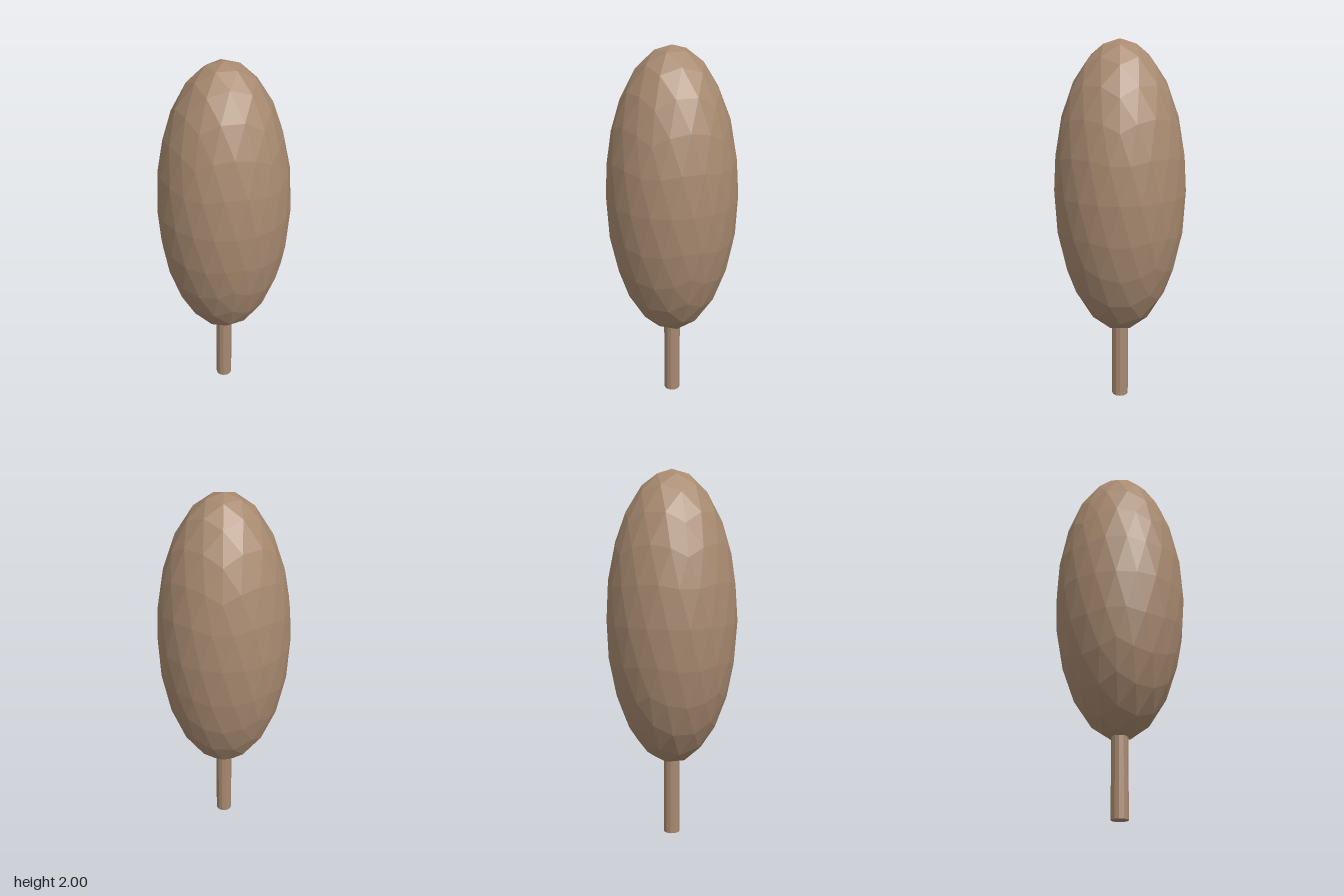
import * as THREE from 'three';

export function createModel() {
  const tree = new THREE.Group();
  tree.name = 'tree';
  const material = new THREE.MeshStandardMaterial({ color: 0xa88a70, flatShading: true });

  // Crown: faceted icosphere turned to stand on a vertex, stretched into a tall egg
  const crownGeometry = new THREE.IcosahedronGeometry(1, 3);
  crownGeometry.rotateZ(-Math.atan(2 / (1 + Math.sqrt(5))));
  crownGeometry.scale(0.354, 0.796, 0.354);
  const crown = new THREE.Mesh(crownGeometry, material);
  crown.name = 'crown';
  crown.position.y = 1.204;
  tree.add(crown);

  // Trunk: thin post that ends just inside the crown
  const trunkHeight = 0.45;
  const trunk = new THREE.Mesh(
    new THREE.CylinderGeometry(0.045, 0.045, trunkHeight, 12),
    material
  );
  trunk.name = 'trunk';
  trunk.position.y = trunkHeight / 2;
  tree.add(trunk);

  return tree;
}
